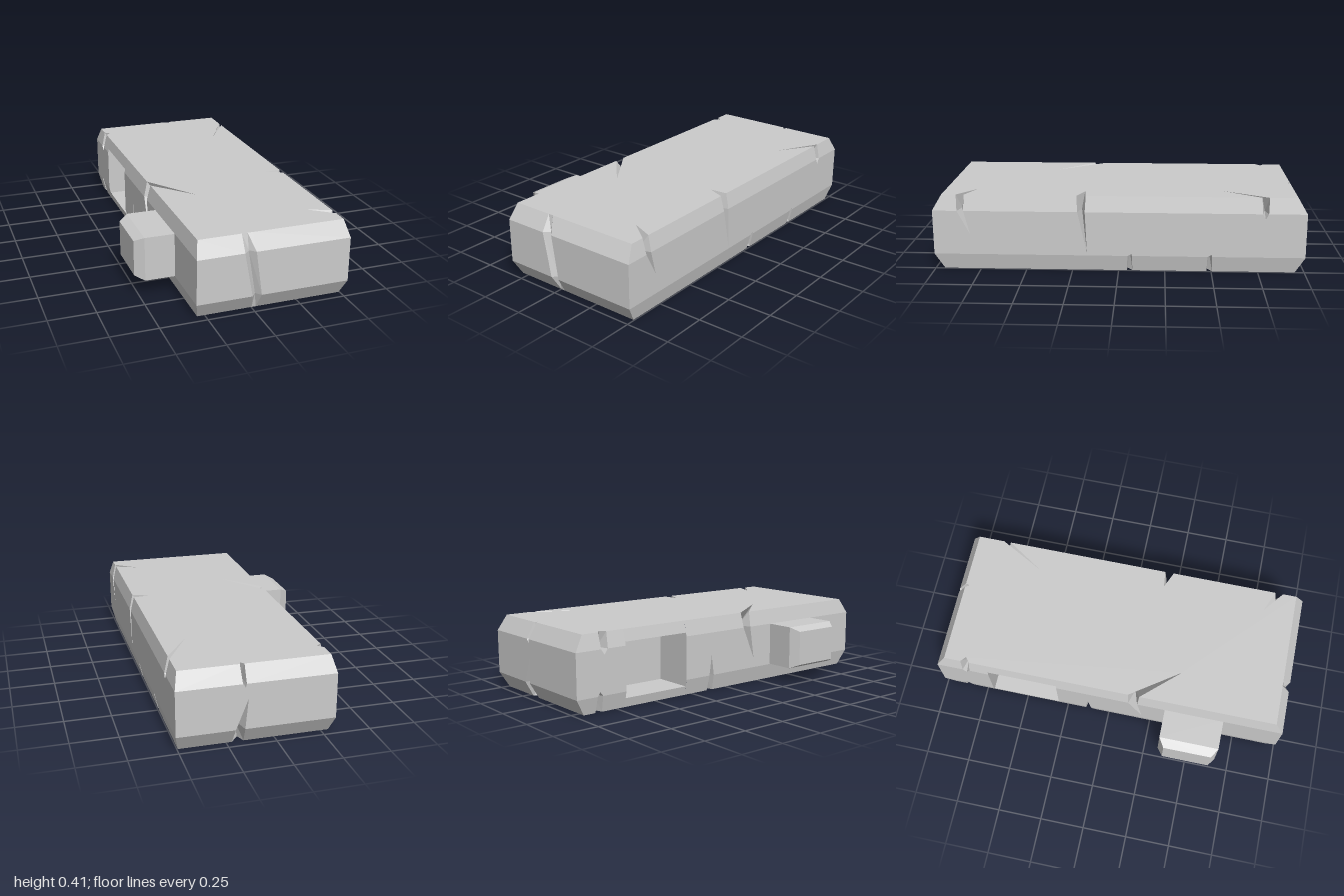
import * as THREE from 'three';
import { ConvexGeometry } from 'three/addons/geometries/ConvexGeometry.js';

// Heights of the four rows that bound the chamfers and the walls
const TOP = 0.415, HI = 0.33, LO = 0.088, BASE = 0;
const V = (x, y, z) => new THREE.Vector3(x, y, z);

// A notch over an upper or lower edge: centre u, half width w, tip on the flat face, tip on the wall
function notch(up, u, w, flatU, flatInset, tipU, tipY) {
  const span = (k) => [u - k * w, u + k * w];
  return { up, edge: span(1), wall: span(0.8), flat: [flatU, flatInset], tip: [tipU, tipY], depth: 0.03 + w };
}

// Side descriptions: u runs along the side, inset is measured inwards from the wall
function longSide(sign, cracks) {
  const x = sign > 0 ? 0.515 : -0.31;
  return { at: (u, i, y) => V(x - sign * i, y, u), out: V(sign, 0, 0), inset: 0.02,
    wall: [-1, 1], edge: [-0.95, 0.95], dir: -sign, cracks };
}

function endSide(sign, cracks) {
  return { at: (u, i, y) => V(u, y, sign * (1 - i)), out: V(0, 0, sign), inset: 0.05,
    wall: [-0.31, 0.515], edge: [-0.29, 0.495], dir: sign, cracks };
}

const front = endSide(1, []);
front.gap = [[-0.06, 0], [-0.06, 0], [-0.015, 0.035], [-0.02, 0.025]];

const right = longSide(-1, [
  notch(true, -0.83, 0.025, -0.83, 0.05, -0.83, 0.3),
  notch(true, 0.145, 0.032, 0.385, 0.21, 0.2, 0.14),
  notch(false, -0.86, 0.02, -0.86, 0.1, -0.86, 0.11),
  notch(false, -0.12, 0.02, -0.12, 0.12, -0.12, 0.2),
]);
right.gap = new Array(4).fill([-0.7, -0.3]);

const back = endSide(-1, [
  notch(true, 0.17, 0.012, 0.175, 0.07, 0.165, 0.31),
  notch(false, 0.19, 0.03, 0.18, 0.1, 0.15, 0.25),
]);

const left = longSide(1, [
  notch(true, -0.78, 0.02, -0.545, 0.16, -0.78, 0.3),
  notch(true, 0.2, 0.025, 0.185, 0.115, 0.17, 0.1),
  notch(true, 0.85, 0.022, 0.775, 0.145, 0.8, 0.2),
  ...[-0.49, -0.06].map((u) => notch(false, u, 0.015, u + 0.05, 0.12, u - 0.01, 0.1)),
]);

// In walking order round the block
const SIDES = [front, left, back, right];

// Adds a flat polygon, triangulated and turned to face the outward direction
function addFace(out, pts, outward) {
  const flat = pts.map((p) => (Math.abs(outward.y) > 0.5 ? new THREE.Vector2(p.x, p.z)
    : Math.abs(outward.x) > 0.5 ? new THREE.Vector2(p.z, p.y) : new THREE.Vector2(p.x, p.y)));
  for (const [i, j, k] of THREE.ShapeUtils.triangulateShape(flat, [])) {
    const [p, q, r] = [pts[i], pts[j], pts[k]];
    const n = q.clone().sub(p).cross(r.clone().sub(p));
    if (n.dot(outward) > 0) addTri(out, p, q, r);
    else addTri(out, p, r, q);
  }
}

function addTri(out, ...pts) {
  for (const v of pts) out.push(v.x, v.y, v.z);
}

function meshOf(name, positions, side = THREE.FrontSide) {
  const g = new THREE.BufferGeometry();
  g.setAttribute('position', new THREE.Float32BufferAttribute(positions, 3));
  g.computeVertexNormals();
  const mesh = new THREE.Mesh(g, new THREE.MeshStandardMaterial({ color: 0xcccccc, flatShading: true, side }));
  mesh.name = name;
  return mesh;
}

const sorted = (s, up) => s.cracks.filter((c) => c.up === up).sort((a, b) => a.edge[0] - b.edge[0]);

// Sloped strip between the flat face and the wall, interrupted by notches and gaps
function addChamfer(out, s, up) {
  const yEdge = up ? TOP : BASE, yWall = up ? HI : LO;
  const cuts = sorted(s, up).map((c) => [c.edge, c.wall]);
  if (s.gap) cuts.push(up ? [s.gap[0], s.gap[1]] : [s.gap[3], s.gap[2]]);
  cuts.sort((a, b) => a[0][0] - b[0][0]);
  let start = [s.edge[0], s.wall[0]];
  const strip = (e, w) => addFace(out, [s.at(start[0], s.inset, yEdge), s.at(start[1], 0, yWall),
    s.at(w, 0, yWall), s.at(e, s.inset, yEdge)], s.out);
  for (const [e, w] of cuts) {
    strip(e[0], w[0]);
    start = [e[1], w[1]];
  }
  strip(s.edge[1], s.wall[1]);
}

// Upright wall with notch tips cut into its upper and lower borders
function addWall(out, s) {
  const [a, b] = s.wall;
  const spans = s.gap
    ? [[a, a, s.gap[1][0], s.gap[2][0]], [s.gap[1][1], s.gap[2][1], b, b]] : [[a, a, b, b]];
  for (const [hi0, lo0, hi1, lo1] of spans) {
    const row = (up, y, u0, u1) => [s.at(u0, 0, y),
      ...sorted(s, up).filter((c) => c.wall[0] > u0 && c.wall[1] < u1)
        .flatMap((c) => [s.at(c.wall[0], 0, y), s.at(c.tip[0], 0, c.tip[1]), s.at(c.wall[1], 0, y)]),
      s.at(u1, 0, y)];
    addFace(out, [...row(false, LO, lo0, lo1), ...row(true, HI, hi0, hi1).reverse()], s.out);
  }
}

// Flat top or bottom, outlined by walking round the four sides
function addFlat(out, up) {
  const y = up ? TOP : BASE, pts = [];
  for (const s of SIDES) {
    const list = [s.at(s.edge[0], s.inset, y), ...sorted(s, up).flatMap((c) => [
      s.at(c.edge[0], s.inset, y), s.at(c.flat[0], c.flat[1], y), s.at(c.edge[1], s.inset, y)]),
    s.at(s.edge[1], s.inset, y)];
    if (s.dir < 0) list.reverse();
    pts.push(...list.slice(0, -1));
  }
  addFace(out, pts, V(0, up ? 1 : -1, 0));
}

// Two faceted flanks of a notch, meeting at one deep point
function addNotch(out, s, c) {
  const yE = c.up ? TOP : BASE, yW = c.up ? HI : LO;
  const deep = s.at((c.edge[0] + c.edge[1]) / 2, s.inset + c.depth, yW);
  for (const k of [0, 1]) {
    const path = [s.at(c.flat[0], c.flat[1], yE), s.at(c.edge[k], s.inset, yE),
      s.at(c.wall[k], 0, yW), s.at(c.tip[0], 0, c.tip[1])];
    for (let i = 0; i < 3; i++) addTri(out, path[i], path[i + 1], deep);
  }
}

// Shallow V groove that runs the full height of a side
function addGroove(out, s) {
  const ys = [TOP, HI, LO, BASE];
  const rows = s.gap.map(([l, r], i) => {
    const edge = i === 0 || i === 3, inset = edge ? s.inset : 0;
    return [s.at(l, inset, ys[i]), s.at((l + r) / 2, edge ? inset : 0.03, ys[i]), s.at(r, inset, ys[i])];
  });
  for (let i = 0; i < 3; i++) for (const k of [0, 1]) {
    addTri(out, rows[i][k], rows[i + 1][k], rows[i + 1][k + 1]);
    addTri(out, rows[i][k], rows[i + 1][k + 1], rows[i][k + 1]);
  }
}

// Rectangular recess with the chamfer remnants above and below it
function addSocket(out, s) {
  const [u0, u1] = s.gap[0], y0 = 0.05, y1 = 0.35, i0 = 0.009, i1 = 0.005, d = 0.235;
  const quad = (ia, ya, ib, yb, outward) => addFace(out,
    [s.at(u0, ia, ya), s.at(u1, ia, ya), s.at(u1, ib, yb), s.at(u0, ib, yb)], outward);
  quad(s.inset, TOP, i1, y1, s.out);
  quad(s.inset, BASE, i0, y0, s.out);
  quad(d, y0, d, y1, s.out);
  quad(i0, y0, d, y0, V(0, 1, 0));
  quad(i1, y1, d, y1, V(0, -1, 0));
  for (const [u, n] of [[u0, 1], [u1, -1]]) {
    addFace(out, [[i1, y1], [0, HI], [0, LO], [i0, y0], [d, y0], [d, y1]]
      .map(([i, y]) => s.at(u, i, y)), V(0, 0, n));
  }
}

// Peg with a tapered end
function makePeg() {
  const section = (x, bevelY, bevelZ) => [-1, 1].flatMap((j) => [-1, 1].map((k) =>
    V(x, 0.21 + j * (0.12 - bevelY), 0.4975 + k * (0.1675 - bevelZ))));
  const peg = new THREE.Mesh(
    new ConvexGeometry([...section(-0.3, 0, 0), ...section(-0.47, 0, 0), ...section(-0.52, 0.023, 0.033)]),
    new THREE.MeshStandardMaterial({ color: 0xcccccc, flatShading: true }));
  peg.name = 'peg';
  return peg;
}

export function createModel() {
  const model = new THREE.Group();
  model.name = 'interlockingStoneBlock';

  const block = [], cracks = [], socket = [];
  for (const up of [true, false]) {
    addFlat(block, up);
    for (const s of SIDES) addChamfer(block, s, up);
  }
  for (const s of SIDES) {
    addWall(block, s);
    for (const c of s.cracks) addNotch(cracks, s, c);
  }
  addGroove(cracks, front);
  addSocket(socket, right);

  model.add(meshOf('block', block), meshOf('cracks', cracks, THREE.DoubleSide),
    meshOf('socket', socket), makePeg());
  return model;
}
